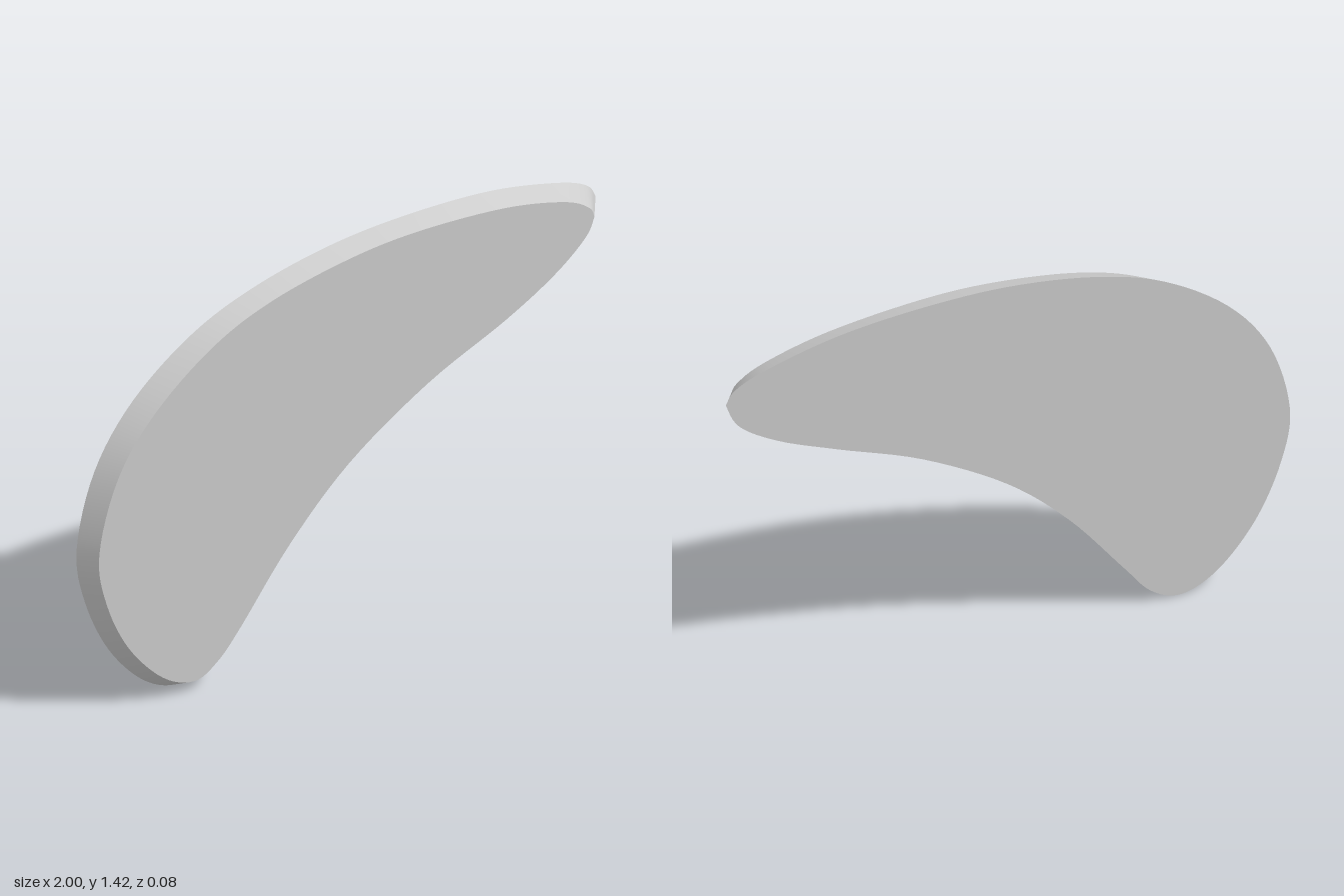
import * as THREE from 'three';

// Matching outlines, counter-clockwise from the right tip: the back is larger than the front
const BACK = [
  [1.0, 1.26], [0.965, 1.31], [0.85, 1.355], [0.6, 1.405], [0.3, 1.42], [0, 1.405],
  [-0.3, 1.347], [-0.55, 1.25], [-0.78, 1.08], [-0.93, 0.87], [-1.0, 0.61], [-0.97, 0.41],
  [-0.88, 0.21], [-0.75, 0.06], [-0.62, 0.003], [-0.51, 0.05], [-0.41, 0.175],
  [-0.22, 0.42], [0, 0.632], [0.3, 0.825], [0.6, 0.96], [0.81, 1.06], [0.95, 1.16],
];
const FRONT = [
  [0.945, 1.235], [0.925, 1.275], [0.83, 1.325], [0.6, 1.375], [0.27, 1.395], [0, 1.378],
  [-0.3, 1.318], [-0.53, 1.22], [-0.75, 1.05], [-0.89, 0.86], [-0.963, 0.61], [-0.935, 0.42],
  [-0.85, 0.235], [-0.72, 0.09], [-0.6, 0.04], [-0.51, 0.083], [-0.42, 0.18],
  [-0.23, 0.42], [0, 0.642], [0.3, 0.833], [0.6, 0.968], [0.79, 1.073], [0.91, 1.17],
];
const STEPS = 138;

// Smooth outline that keeps its corner at the tip
function outline(points) {
  const pts = [...points, points[0]].map(([x, y]) => new THREE.Vector2(x, y));
  return new THREE.SplineCurve(pts).getPoints(STEPS);
}

// The plate leans very slightly backwards
const lean = (y) => 0.004 - 0.006 * y;

function cap(points, z, flip) {
  const geo = new THREE.ShapeGeometry(new THREE.Shape(points.slice(0, -1)));
  const pos = geo.attributes.position;
  for (let i = 0; i < pos.count; i++) pos.setZ(i, z + lean(pos.getY(i)));
  if (flip) geo.setIndex(Array.from(geo.index.array).reverse());
  geo.computeVertexNormals();
  return geo;
}

// Sloping wall lofted between the two outlines
function wall(front, back, zFront, zBack) {
  const pos = [], index = [];
  front.forEach((f, i) => {
    const b = back[i];
    pos.push(f.x, f.y, zFront + lean(f.y), b.x, b.y, zBack + lean(b.y));
    if (i < STEPS) {
      const k = i * 2;
      index.push(k, k + 1, k + 3, k, k + 3, k + 2);
    }
  });
  const geo = new THREE.BufferGeometry();
  geo.setAttribute('position', new THREE.Float32BufferAttribute(pos, 3));
  geo.setIndex(index);
  geo.computeVertexNormals();
  return geo;
}

export function createModel() {
  const group = new THREE.Group();
  group.name = 'curvedPlate';
  const material = new THREE.MeshStandardMaterial({ color: 0xcccccc });
  const front = outline(FRONT), back = outline(BACK);
  const zFront = 0.037, zBack = -0.036;
  const add = (name, geo) => {
    const mesh = new THREE.Mesh(geo, material);
    mesh.name = name;
    group.add(mesh);
  };
  add('frontFace', cap(front, zFront, false));
  add('backFace', cap(back, zBack, true));
  add('bevelledEdge', wall(front, back, zFront, zBack));
  return group;
}
